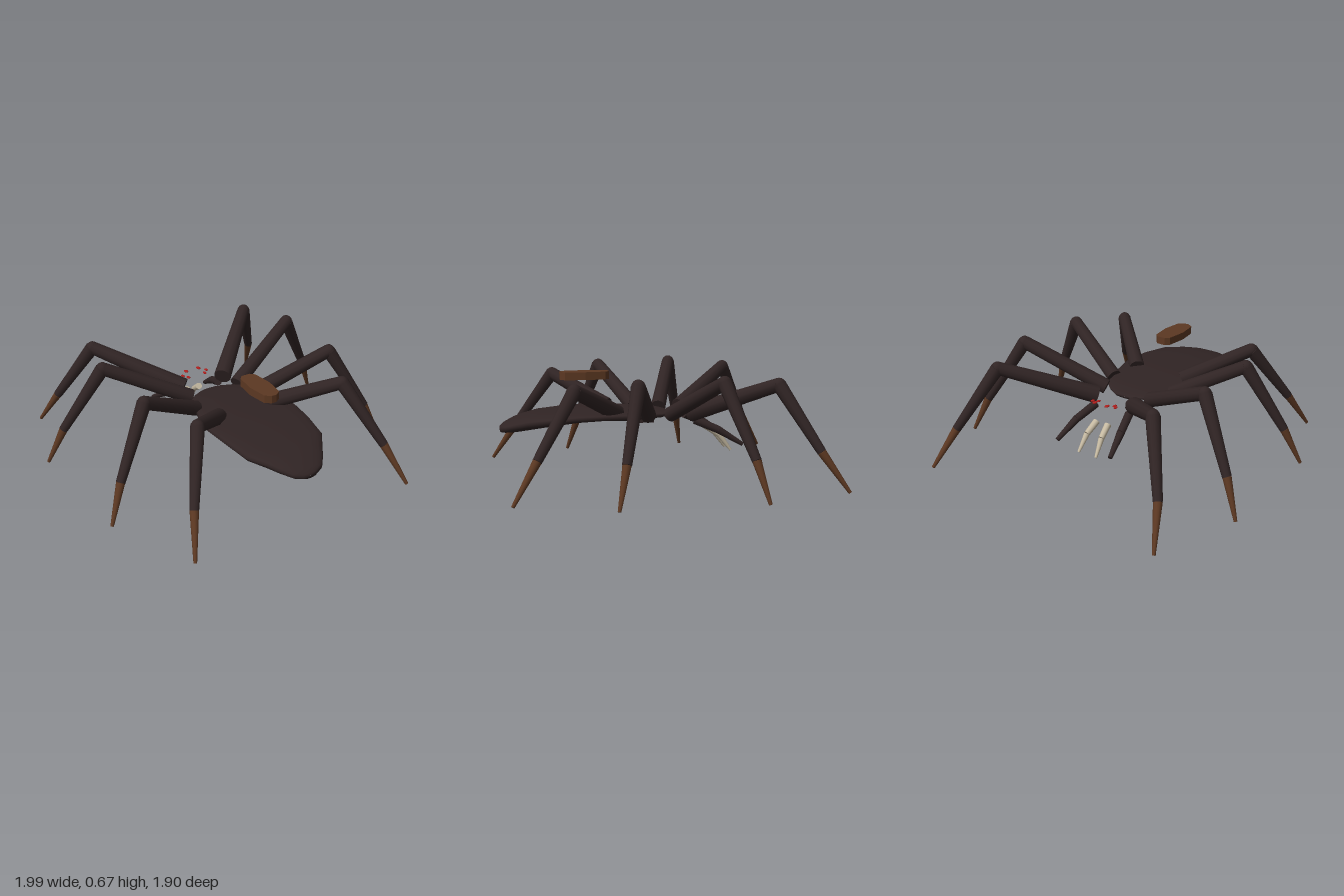
import * as THREE from 'three';

const mat = (name, color) => Object.assign(new THREE.MeshStandardMaterial({ color }), { name });

export function createModel() {
  const dark = mat('darkShell', 0x302424);
  const brown = mat('brown', 0x5c3822);
  const ivory = mat('ivory', 0xc6baa2);
  const red = mat('red', 0xb01e1c);
  const model = new THREE.Group();
  model.name = 'spider';

  const add = (parent, name, geo, material) => {
    const m = new THREE.Mesh(geo, material);
    m.name = name;
    parent.add(m);
    return m;
  };

  // Tapered limb segment between two points
  const UP = new THREE.Vector3(0, 1, 0);
  const limb = (parent, name, a, b, ra, rb, material) => {
    const p = new THREE.Vector3(...a), q = new THREE.Vector3(...b);
    const dir = q.clone().sub(p);
    const m = add(parent, name, new THREE.CylinderGeometry(rb, ra, dir.length(), 10), material);
    m.position.copy(p).add(q).multiplyScalar(0.5);
    m.quaternion.setFromUnitVectors(UP, dir.normalize());
    return m;
  };

  // Body lofted along z: [z, half width, bottom y, top y]
  const sections = [
    [-0.1, 0.001, 0.379, 0.381], [-0.1, 0.07, 0.37, 0.39], [-0.06, 0.14, 0.37, 0.4],
    [0, 0.205, 0.365, 0.41], [0.08, 0.225, 0.36, 0.415], [0.2, 0.27, 0.355, 0.42],
    [0.36, 0.305, 0.365, 0.423], [0.52, 0.29, 0.355, 0.42], [0.7, 0.26, 0.328, 0.408],
    [0.8, 0.19, 0.308, 0.393], [0.86, 0.15, 0.297, 0.375], [0.92, 0.1, 0.292, 0.348],
    [0.945, 0.045, 0.294, 0.33], [0.95, 0.001, 0.31, 0.314],
  ];
  const N = 20, pos = [], idx = [];
  sections.forEach(([z, w, lo, hi], i) => {
    const mid = lo + (hi - lo) * 0.6;
    for (let j = 0; j < N; j++) {
      const t = (j / N) * Math.PI * 2, c = Math.cos(t), s = Math.sin(t);
      const x = Math.sign(c) * Math.abs(c) ** 0.85 * w;
      const y = mid + Math.sign(s) * Math.abs(s) ** 0.8 * (s > 0 ? hi - mid : mid - lo);
      pos.push(x, y, z);
      if (i) {
        const k = (j + 1) % N, a = (i - 1) * N, b = i * N;
        idx.push(a + j, a + k, b + k, a + j, b + k, b + j);
      }
    }
  });
  const body = new THREE.BufferGeometry();
  body.setAttribute('position', new THREE.Float32BufferAttribute(pos, 3));
  body.setIndex(idx);
  body.computeVertexNormals();
  add(model, 'body', body, dark);

  // Small block under the body
  add(model, 'underBlock', new THREE.BoxGeometry(0.13, 0.04, 0.11), dark).position.set(0, 0.348, 0.075);

  // Faceted marking hovering above the back
  const outline = [[0.028, 0.29], [0.052, 0.315], [0.066, 0.44], [0.05, 0.56], [0.015, 0.585]];
  const loop = [...outline, ...outline.map(([x, z]) => [-x, z]).reverse()];
  const marking = new THREE.ExtrudeGeometry(
    new THREE.Shape(loop.map(([x, z]) => new THREE.Vector2(x, -z))), { depth: 0.047, bevelEnabled: false });
  marking.rotateX(-Math.PI / 2);
  add(model, 'backMarking', marking, brown).position.y = 0.598;

  // Legs: hip, knee, ankle, tip, hip radius
  const legs = [
    [[0.14, 0.39, -0.19], [0.56, 0.6, -0.6], [0.735, 0.23, -0.8], [0.812, 0.005, -0.945], 0.055],
    [[0.165, 0.39, -0.06], [0.66, 0.63, -0.245], [0.89, 0.23, -0.36], [0.985, 0.005, -0.41], 0.047],
    [[0.22, 0.395, 0.09], [0.64, 0.62, 0.24], [0.86, 0.23, 0.35], [0.955, 0.005, 0.41], 0.047],
    [[0.17, 0.41, 0.27], [0.49, 0.585, 0.57], [0.65, 0.23, 0.8], [0.73, 0.005, 0.942], 0.05],
  ];
  for (const side of [1, -1]) {
    const s = side > 0 ? 'left' : 'right';
    const flip = ([x, y, z]) => [x * side, y, z];
    legs.forEach(([hip, knee, ankle, tip, r], i) => {
      const g = new THREE.Group();
      g.name = `${s}Leg${i + 1}`;
      limb(g, 'upperLeg', flip(hip), flip(knee), r, 0.04, dark);
      limb(g, 'lowerLeg', flip(knee), flip(ankle), 0.042, 0.027, dark);
      limb(g, 'foot', flip(ankle), flip(tip), 0.026, 0.01, brown);
      add(g, 'kneeJoint', new THREE.SphereGeometry(0.04, 10, 8), dark).position.set(...flip(knee));
      model.add(g);
    });

    // Feelers
    limb(model, `${s}FeelerBase`, flip([0.125, 0.345, -0.22]), flip([0.165, 0.285, -0.36]), 0.026, 0.024, dark);
    limb(model, `${s}FeelerTip`, flip([0.165, 0.285, -0.36]), flip([0.197, 0.195, -0.505]), 0.024, 0.013, dark);

    // Fangs
    limb(model, `${s}FangBase`, flip([0.042, 0.29, -0.32]), flip([0.054, 0.235, -0.4]), 0.021, 0.018, ivory);
    limb(model, `${s}FangTip`, flip([0.054, 0.235, -0.4]), flip([0.064, 0.138, -0.47]), 0.018, 0.008, ivory);

    // Eyes
    [[0.045, 0.415, -0.33, 0.013], [0.085, 0.405, -0.3, 0.011], [0.06, 0.4, -0.275, 0.011]].forEach(([x, y, z, r], i) => {
      const eye = add(model, `${s}Eye${i + 1}`, new THREE.SphereGeometry(r, 10, 6), red);
      eye.scale.set(1, 0.4, 1.5);
      eye.position.set(x * side, y, z);
    });
  }
  return model;
}
